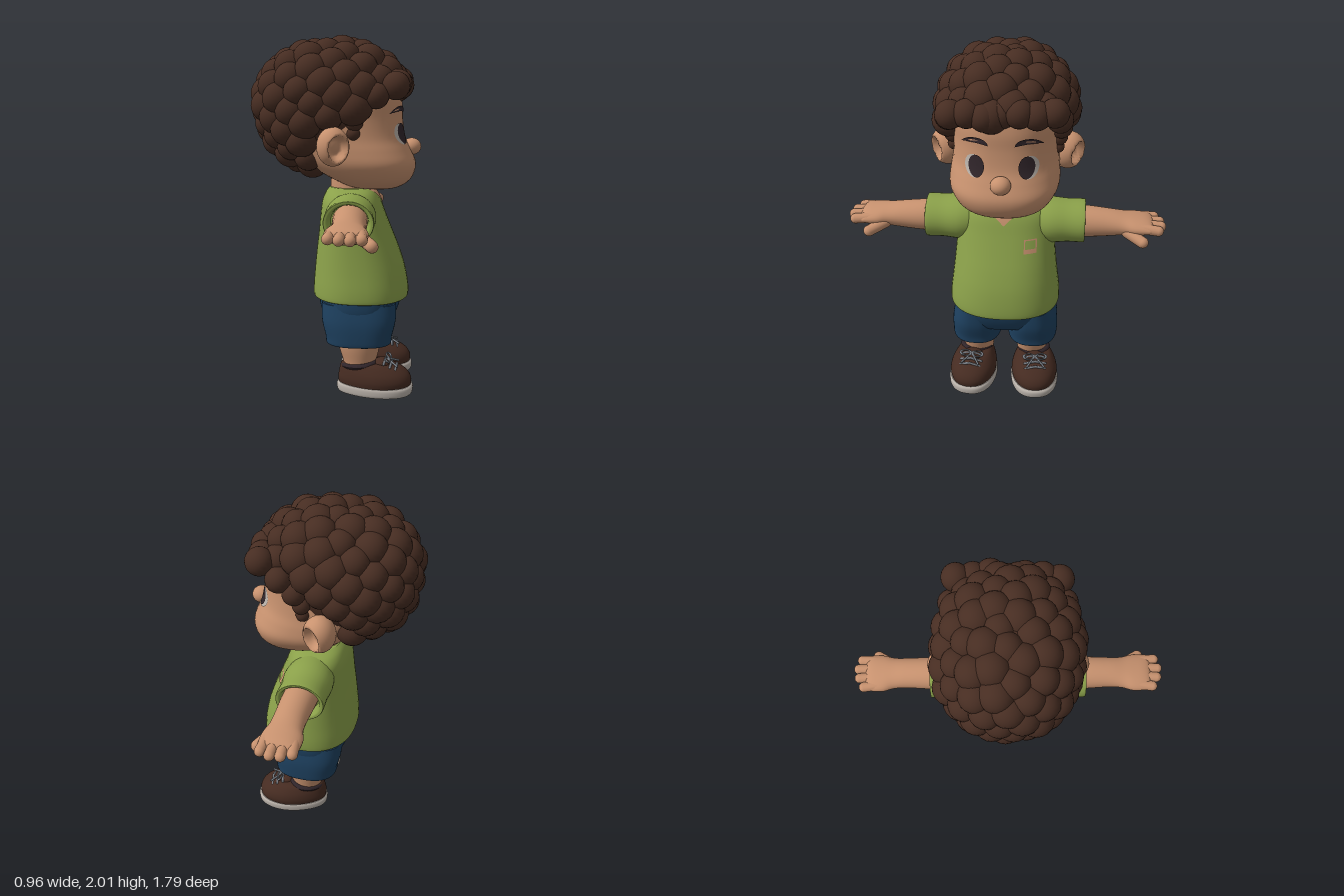
import * as THREE from 'three';
import { mergeGeometries } from 'three/addons/utils/BufferGeometryUtils.js';

const mat = (name, color) => Object.assign(new THREE.MeshStandardMaterial({ color }), { name });

const V = (x, y, z) => new THREE.Vector3(x, y, z);

// Smooth in-between value of four neighbours
const blend = (a, b, c, d, t) => {
  const cubic = 3 * (b - c) + d - a, square = 2 * a - 5 * b + 4 * c - d;
  return b + 0.5 * t * (c - a + t * (square + t * cubic));
};

// Smooth in-between rows for a list of cross-sections [height, half width, back z, front z]
function refine(rows, steps = 5) {
  const out = [], last = rows.length - 1;
  for (let i = 0; i < last; i++) {
    const [a, b, c, d] = [rows[Math.max(i - 1, 0)], rows[i], rows[i + 1], rows[Math.min(i + 2, last)]];
    for (let s = 0; s < steps; s++) out.push(b.map((v, k) => blend(a[k], v, c[k], d[k], s / steps)));
  }
  out.push(rows[last]);
  return out;
}

// Closed skin over superellipse cross-sections stacked along y
function loft(rows, p = 2, steps = 5, n = 48) {
  const pos = [], idx = [], fine = refine(rows, steps);
  const pw = v => Math.sign(v) * Math.abs(v) ** (2 / p);
  const ring = ([y, w, zb, zf]) => {
    for (let j = 0; j < n; j++) {
      const a = j / n * Math.PI * 2;
      pos.push(w * pw(Math.cos(a)), y, (zb + zf) / 2 + (zf - zb) / 2 * pw(Math.sin(a)));
    }
  };
  fine.forEach(ring);
  for (let i = 0; i < fine.length - 1; i++) for (let j = 0; j < n; j++) {
    const a = i * n + j, b = i * n + (j + 1) % n;
    idx.push(a, a + n, b, b, a + n, b + n);
  }
  for (const [r, top] of [[fine[0], false], [fine[fine.length - 1], true]]) {
    const base = pos.length / 3;
    ring(r);
    pos.push(0, r[0], (r[2] + r[3]) / 2);
    for (let j = 0; j < n; j++) {
      const k = base + (j + 1) % n;
      idx.push(base + n, ...(top ? [k, base + j] : [base + j, k]));
    }
  }
  const g = new THREE.BufferGeometry();
  g.setAttribute('position', new THREE.Float32BufferAttribute(pos, 3));
  g.setIndex(idx);
  g.computeVertexNormals();
  return g;
}

// Lay a flat geometry onto the front of a loft
function decal(g, rows, p, lift) {
  const fine = refine(rows), q = g.attributes.position;
  for (let i = 0; i < q.count; i++) {
    const x = q.getX(i), y = q.getY(i);
    const k = fine.findIndex(r => r[0] > y);
    const t = (y - fine[k - 1][0]) / (fine[k][0] - fine[k - 1][0]);
    const [, w, zb, zf] = fine[k].map((v, c) => THREE.MathUtils.lerp(fine[k - 1][c], v, t));
    const u = Math.max(0, 1 - Math.abs(x / w) ** p);
    q.setZ(i, (zb + zf) / 2 + (zf - zb) / 2 * u ** (1 / p) + lift);
  }
  g.computeVertexNormals();
  return g;
}

const ball = (x, y, z, rx, ry = rx, rz = rx, n = 20) =>
  new THREE.SphereGeometry(1, n, Math.round(n * 0.7)).scale(rx, ry, rz).translate(x, y, z);

function rod(a, b, r) {
  const d = b.clone().sub(a), mid = a.clone().add(b).multiplyScalar(0.5);
  return new THREE.CapsuleGeometry(r, d.length(), 6, 14)
    .applyQuaternion(new THREE.Quaternion().setFromUnitVectors(V(0, 1, 0), d.normalize()))
    .translate(mid.x, mid.y, mid.z);
}

function mirrored(g) {
  const m = g.clone().scale(-1, 1, 1), ix = m.index.array;
  for (let i = 0; i < ix.length; i += 3) [ix[i], ix[i + 1]] = [ix[i + 1], ix[i]];
  return m;
}

export function createModel() {
  const skin = mat('skin', 0xc8926f), hair = mat('hair', 0x472d22), dark = mat('dark', 0x30252a);
  const green = mat('shirt green', 0x8ba14a), blue = mat('shorts blue', 0x1e4160);
  const brown = mat('shoe brown', 0x452b21), pale = mat('sole', 0xbab2aa), grey = mat('lace grey', 0x767b82);
  const root = new THREE.Group(), body = new THREE.Group();
  root.name = 'boy';
  body.name = 'body';
  body.rotation.y = Math.PI / 2;
  root.add(body);
  const add = (name, g, m) => {
    const mesh = new THREE.Mesh(g, m);
    mesh.name = name;
    body.add(mesh);
  };
  const pair = (name, g, m) => { add(name + 'Left', g, m); add(name + 'Right', mirrored(g), m); };

  // Head, neck and nose
  const headP = 2.4;
  const headRows = [[1.15, 0.07, 0.17, 0.29], [1.165, 0.15, 0.08, 0.36], [1.2, 0.225, 0.0, 0.415], [1.25, 0.272, -0.09, 0.445],
    [1.31, 0.298, -0.15, 0.45], [1.38, 0.295, -0.2, 0.42], [1.45, 0.285, -0.25, 0.39], [1.55, 0.28, -0.28, 0.375],
    [1.65, 0.28, -0.28, 0.37], [1.75, 0.26, -0.25, 0.34], [1.83, 0.18, -0.2, 0.25], [1.87, 0.05, -0.05, 0.1]];
  add('head', loft(headRows, headP), skin);
  add('neck', new THREE.CylinderGeometry(0.115, 0.125, 0.22, 32).translate(0, 1.13, 0.085), skin);
  add('nose', ball(0, 1.39, 0.427, 0.054, 0.048, 0.054, 28), skin);

  // Ears with a dented bowl
  const ear = ball(0, 0, 0, 1, 1, 1, 36), q = ear.attributes.position, bowl = V(0.85, 0.05, 0.52).normalize();
  for (let i = 0; i < q.count; i++) {
    const v = V(0, 0, 0).fromBufferAttribute(q, i), d = v.dot(bowl);
    v.addScaledVector(bowl, -0.75 * THREE.MathUtils.smoothstep(d, 0.72, 0.92));
    q.setXYZ(i, v.x, v.y, v.z);
  }
  ear.scale(0.092, 0.106, 0.088).rotateZ(-0.2).translate(0.338, 1.415, 0.005);
  ear.computeVertexNormals();
  pair('ear', ear, skin);

  // Eyes and brows
  const disc = (x, y, rx, ry) => new THREE.RingGeometry(0, 1, 32, 5).scale(rx, ry, 1).translate(x, y, 0);
  pair('eyeWhite', decal(disc(0.142, 1.47, 0.05, 0.058), headRows, headP, 0.004), pale);
  pair('pupil', decal(disc(0.13, 1.472, 0.042, 0.057), headRows, headP, 0.008), dark);
  const brow = new THREE.Shape();
  brow.moveTo(0.068, 1.585);
  brow.quadraticCurveTo(0.07, 1.615, 0.115, 1.622);
  brow.quadraticCurveTo(0.175, 1.628, 0.212, 1.58);
  brow.quadraticCurveTo(0.15, 1.605, 0.068, 1.585);
  pair('eyebrow', decal(new THREE.ShapeGeometry(brow, 12), headRows, headP, 0.009), dark);

  // Curly hair: balls spread over a rounded dome, cut along a hairline
  const curls = [], N = 135;
  for (let i = 0; i < N; i++) {
    const y = 1 - 2 * (i + 0.5) / N, r = Math.sqrt(1 - y * y), a = i * 2.39996;
    const d = [r * Math.cos(a), y, r * Math.sin(a)], p = y > 0 ? 2.35 : 2;
    const k = d.reduce((s, c) => s + Math.abs(c) ** p, 0) ** (-1 / p);
    const [cx, cy, cz] = [d[0] * k * 0.315, 1.6 + d[1] * k * 0.315, -0.02 + d[2] * k * 0.375];
    const line = cz < -0.1 ? 1.2 : cz < 0.12 ? 1.56 : cz < 0.2 ? 1.64 : 1.73;
    if (cy > line) curls.push(ball(cx, cy, cz, 0.079 + 0.016 * Math.abs(Math.sin(i * 1.7))));
  }
  // Fringe and sideburns
  for (let i = -3; i <= 3; i++)
    curls.push(ball(i * 0.088, 1.745 + 0.012 * (i % 2), 0.355 - 0.012 * Math.abs(i) + (i ? 0.015 : -0.02), 0.076));
  for (const s of [-1, 1])
    for (const [x, y, z, r] of [[0.29, 1.68, 0.23, 0.07], [0.295, 1.61, 0.15, 0.062], [0.285, 1.54, 0.115, 0.048], [0.28, 1.48, 0.11, 0.036]])
      curls.push(ball(s * x, y, z, r));
  add('curls', mergeGeometries(curls), hair);
  add('scalp', ball(0, 1.62, -0.07, 0.325, 0.33, 0.36, 36), hair);

  // Shirt
  const shirtP = 2.35;
  const chestRows = [[0.54, 0.315, -0.13, 0.42], [0.6, 0.315, -0.13, 0.418], [0.7, 0.302, -0.122, 0.398],
    [0.8, 0.29, -0.112, 0.365], [0.9, 0.28, -0.1, 0.325], [1.0, 0.272, -0.09, 0.285], [1.08, 0.26, -0.08, 0.255],
    [1.13, 0.215, -0.06, 0.228], [1.16, 0.14, -0.035, 0.2]];
  add('shirt', loft([[0.55, 0.295, -0.11, 0.395], ...chestRows], shirtP), green);

  // Sleeves with an open, hollow cuff
  const along = (rows, y) => loft(rows, 2, 4, 32).rotateZ(-Math.PI / 2).translate(0, y, 0);
  pair('sleeve', along([[0.12, 0.115, -0.02, 0.2], [0.24, 0.128, -0.045, 0.235], [0.35, 0.12, -0.04, 0.228], [0.435, 0.12, -0.042, 0.23],
    [0.445, 0.112, -0.033, 0.222], [0.435, 0.098, -0.015, 0.205], [0.38, 0.09, -0.005, 0.195]], 1.022), green);

  // V neck and chest pocket
  const vee = new THREE.PlaneGeometry(0.21, 0.095, 8, 8).translate(0, 1.1075, 0), vp = vee.attributes.position;
  for (let i = 0; i < vp.count; i++) vp.setX(i, vp.getX(i) * (vp.getY(i) - 1.06) / 0.095);
  add('neckOpening', decal(vee, chestRows, shirtP, 0.006), skin);
  const patch = (w, h, y) => new THREE.PlaneGeometry(w, h, 4, 4).translate(0.15, y, 0);
  add('pocketTrim', decal(patch(0.07, 0.075, 0.95), chestRows, shirtP, 0.004), skin);
  add('pocket', decal(patch(0.056, 0.045, 0.96), chestRows, shirtP, 0.008), green);

  // Arms and hands
  pair('arm', along([[0.3, 0.09, 0.0, 0.19], [0.45, 0.088, 0.008, 0.195], [0.58, 0.075, 0.015, 0.192], [0.66, 0.062, 0.01, 0.195],
    [0.72, 0.054, -0.008, 0.21], [0.78, 0.044, -0.008, 0.212], [0.815, 0.03, 0.0, 0.205], [0.83, 0.008, 0.05, 0.15]], 1.024), skin);
  const tips = [0.835, 0.862, 0.868, 0.85];
  pair('fingers', mergeGeometries(tips.map((x, i) =>
    rod(V(0.74, 1.03, 0.03 + i * 0.048), V(x, 1.022, 0.018 + i * 0.055), 0.029))), skin);
  pair('thumb', rod(V(0.68, 1.0, 0.17), V(0.765, 0.972, 0.228), 0.032), skin);

  // Shorts
  add('shortsHips', loft([[0.37, 0.2, 0.03, 0.27], [0.4, 0.265, -0.05, 0.33], [0.47, 0.295, -0.09, 0.365], [0.56, 0.295, -0.1, 0.385]], 2.5), blue);
  pair('shortsLeg', loft([[0.33, 0.1, 0.01, 0.27], [0.295, 0.125, -0.03, 0.31], [0.29, 0.143, -0.045, 0.325], [0.33, 0.147, -0.05, 0.33],
    [0.42, 0.143, -0.07, 0.35], [0.52, 0.12, -0.07, 0.35]], 2.5).translate(0.165, 0, 0), blue);

  // Legs and shoes, toes turned slightly outward
  pair('leg', loft([[0.1, 0.085, 0.05, 0.23], [0.17, 0.09, 0.05, 0.24], [0.26, 0.102, 0.025, 0.26], [0.36, 0.105, 0.02, 0.265]])
    .translate(0.162, 0, 0), skin);
  const shoe = g => {
    const v = g.attributes.position;
    for (let i = 0; i < v.count; i++) v.setX(i, v.getX(i) * (0.83 + 0.17 * THREE.MathUtils.smoothstep(v.getZ(i), 0.04, 0.28)));
    g.translate(0, 0, -0.235).rotateY(0.1).translate(0.182, 0, 0.235);
    g.computeVertexNormals();
    return g;
  };
  pair('sole', shoe(loft([[0, 0.136, 0.022, 0.445], [0.012, 0.142, 0.016, 0.452], [0.04, 0.142, 0.016, 0.452], [0.052, 0.136, 0.025, 0.44]], 2.4, 3)), pale);
  pair('shoe', shoe(loft([[0.045, 0.134, 0.025, 0.44], [0.08, 0.138, 0.022, 0.443], [0.115, 0.13, 0.028, 0.425],
    [0.145, 0.113, 0.034, 0.385], [0.165, 0.096, 0.045, 0.335], [0.172, 0.075, 0.06, 0.3]], 2.2)), brown);
  pair('shoeCollar', shoe(new THREE.TorusGeometry(0.092, 0.017, 10, 32).rotateX(Math.PI / 2 - 0.12).translate(0, 0.158, 0.145)), dark);
  pair('tongue', shoe(ball(0, 0.165, 0.275, 0.06, 0.03, 0.055)), brown);
  const laces = [];
  for (const s of [-1, 1]) {
    for (const [z, y, w] of [[0.29, 0.195, 0.058], [0.325, 0.178, 0.062], [0.355, 0.165, 0.058]])
      laces.push(rod(V(s * w, y - 0.02, z), V(0, y, z + 0.006), 0.007));
    laces.push(new THREE.TorusGeometry(0.024, 0.006, 8, 20).scale(1.3, 0.7, 1).rotateX(-0.9).translate(s * 0.035, 0.198, 0.31));
    laces.push(rod(V(0, 0.197, 0.3), V(s * 0.05, 0.166, 0.365), 0.006));
  }
  pair('laces', shoe(mergeGeometries(laces)), grey);
  return root;
}
